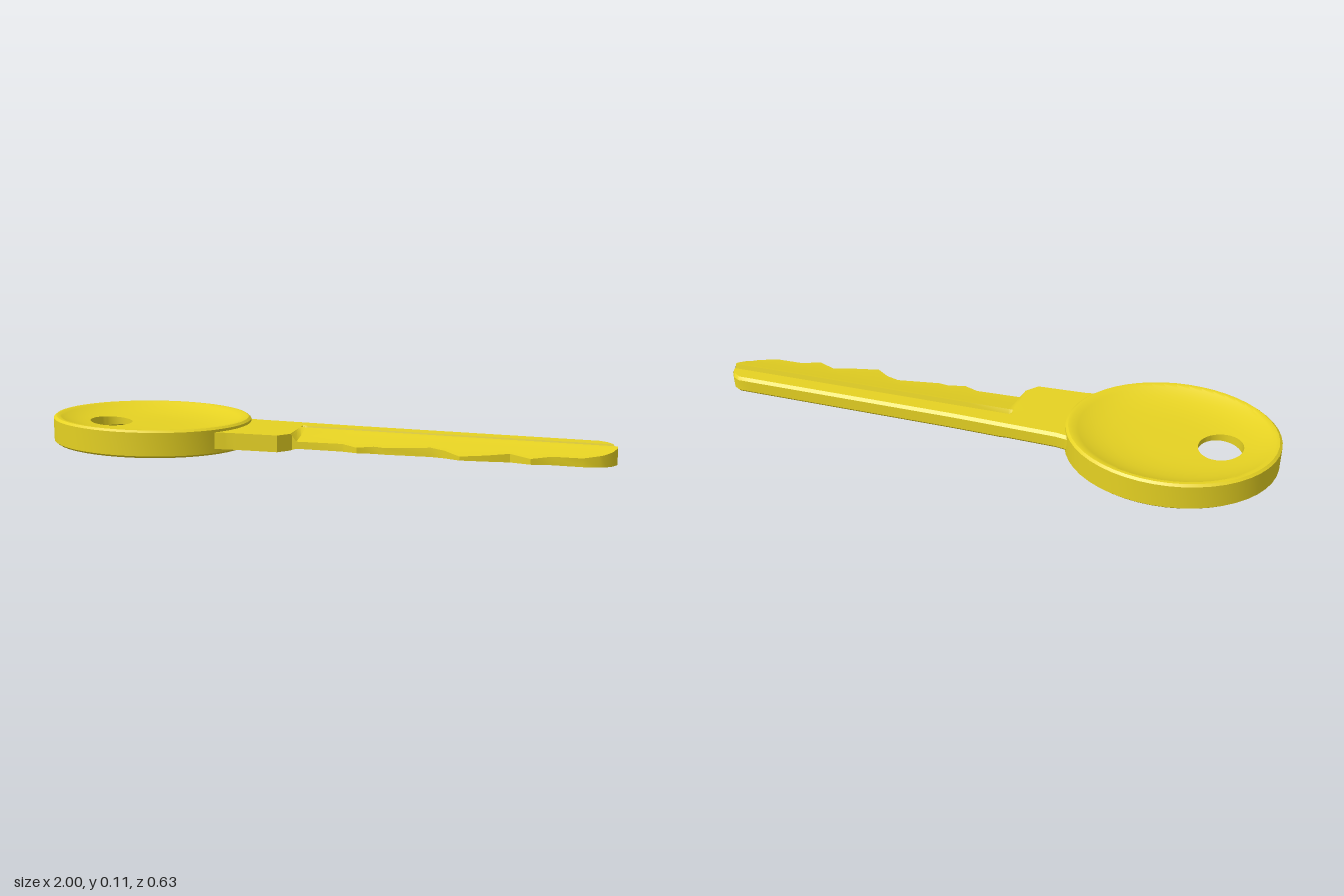
import * as THREE from 'three';
import { toCreasedNormals } from 'three/addons/utils/BufferGeometryUtils.js';

const brass = new THREE.MeshStandardMaterial({ color: 0xe6d222 });
const { clamp, lerp } = THREE.MathUtils;

// piecewise linear lookup in [[position, value], ...]
const lookup = (table, t) => {
  if (t <= table[0][0]) return table[0][1];
  for (let i = 1; i < table.length; i++) {
    const [a, va] = table[i - 1], [b, vb] = table[i];
    if (t <= b) return va + (vb - va) * (t - a) / (b - a);
  }
  return table[table.length - 1][1];
};

// skin closed cross-sections; either join last to first (ring) or cap the last one
function loft(name, rows, ring, crease) {
  const n = rows[0].length, m = rows.length, index = [];
  for (let i = 0; i < (ring ? m : m - 1); i++) {
    for (let j = 0; j < n; j++) {
      const k = (j + 1) % n, next = ((i + 1) % m) * n;
      const a = i * n + j, b = i * n + k, c = next + k, d = next + j;
      index.push(a, b, c, a, c, d);
    }
  }
  if (!ring) {
    const end = (m - 1) * n, hub = n - 2;
    for (let j = 1; j < n - 1; j++) index.push(end + hub, end + (hub + j) % n, end + (hub + j + 1) % n);
  }
  // the whole key leans slightly down toward its tip
  const points = rows.flat().map(([x, y, z]) => [x, y - 0.016 * x, z]);
  const geo = new THREE.BufferGeometry();
  geo.setAttribute('position', new THREE.Float32BufferAttribute(points.flat(), 3));
  geo.setIndex(index);
  const mesh = new THREE.Mesh(toCreasedNormals(geo, crease), brass);
  mesh.name = name;
  return mesh;
}

// oval head: both faces are dished inside a raised rim, with a ring hole
const HEAD = { x: -0.64, rx: 0.36, rz: 0.315, top: 0.092, bottom: -0.003, rim: 0.94, dish: 0.038 };

function makeHead() {
  const oval = (a, s) => [HEAD.x + HEAD.rx * s * Math.cos(a), HEAD.rz * s * Math.sin(a)];
  const hole = (a) => [-0.805 + 0.075 * Math.cos(a), -0.005 + 0.08 * Math.sin(a)];
  const steps = [1, 0.95, 0.88, 0.8, 0.7, 0.55, 0.4, 0.2, 0];
  const rows = [];
  for (let i = 0; i < 48; i++) {
    const a = i / 48 * Math.PI * 2;
    const inner = hole(a), outer = oval(a, HEAD.rim);
    // [x, z, depth below the rim], from the outer side in to the hole
    const half = [[...oval(a, 1), 0.007], [...oval(a, 0.975), 0]];
    for (const t of steps) {
      const x = lerp(inner[0], outer[0], t), z = lerp(inner[1], outer[1], t);
      const r = Math.hypot((x - HEAD.x) / HEAD.rx, z / HEAD.rz) / HEAD.rim;
      half.push([x, z, HEAD.dish * (1 - r ** 4)]);
    }
    const upper = half.map(([x, z, d]) => [x, HEAD.top - d, z]);
    const lower = half.map(([x, z, d]) => [x, HEAD.bottom + d, z]).reverse();
    rows.push([...upper, ...lower]);
  }
  return loft('head', rows, true, 0.45);
}

// blade outline: straight back edge and cut edge, as [x, z]
const backEdge = [[-0.42, -0.15], [-0.34, -0.15], [-0.31, -0.127], [-0.27, -0.12], [0.1, -0.11],
  [0.94, -0.105], [0.965, -0.09], [1, -0.04]];
const cutEdge = [[-0.42, 0.18], [-0.345, 0.178], [-0.3, 0.17], [-0.125, 0.163], [-0.085, 0.115], [0.09, 0.108],
  [0.145, 0.135], [0.2, 0.115], [0.24, 0.122], [0.39, 0.09], [0.44, 0.11], [0.495, 0.155], [0.58, 0.13],
  [0.655, 0.1], [0.725, 0.135], [0.79, 0.102], [0.89, 0.1], [0.95, 0.065], [0.985, 0.03], [1, 0]];

// heights across the blade, as [z, y]; the cut side thins out
const bladeTop = [[-0.045, 0.076], [-0.04, 0.052], [-0.02, 0.052], [-0.015, 0.076],
  [0, 0.073], [0.05, 0.059], [0.16, 0.042]];
const bladeBottom = [[0.05, 0.016], [0.16, 0.03]];

// one closed cross-section at x, running over the top then back underneath
function section(x) {
  const z0 = lookup(backEdge, x), z1 = lookup(cutEdge, x);
  const milled = clamp((x + 0.09) / 0.02, 0, 1);
  const top = (z) => lerp(0.076, lookup(bladeTop, z), milled);
  const bottom = (z) => lerp(0.018, lookup(bladeBottom, z), milled);
  const fit = (z) => clamp(z, z0, z1);
  const pts = [[z0, top(z0) - 0.01]];
  for (const z of [z0 + 0.01, -0.045, -0.04, -0.02, -0.015, 0, 0.05, z1]) pts.push([fit(z), top(fit(z))]);
  for (const z of [z1, 0.05, z0 + 0.01]) pts.push([fit(z), bottom(fit(z))]);
  pts.push([z0, bottom(z0) + 0.01]);
  // the neck starts along the curve of the head's rim
  const rimX = (z) => HEAD.x + HEAD.rx * 0.96 * Math.sqrt(1 - (z / (HEAD.rz * 0.96)) ** 2);
  return pts.map(([z, y]) => [Math.max(x, rimX(z)), y, z]);
}

// neck, grooved blade and bitting
function makeBlade() {
  const xs = [...new Set([...backEdge, ...cutEdge].map((p) => p[0]).concat(-0.09, -0.07))].sort((a, b) => a - b);
  return loft('blade', xs.map(section), false, 0.6);
}

export function createModel() {
  const key = new THREE.Group();
  key.name = 'key';
  key.add(makeHead(), makeBlade());
  return key;
}
